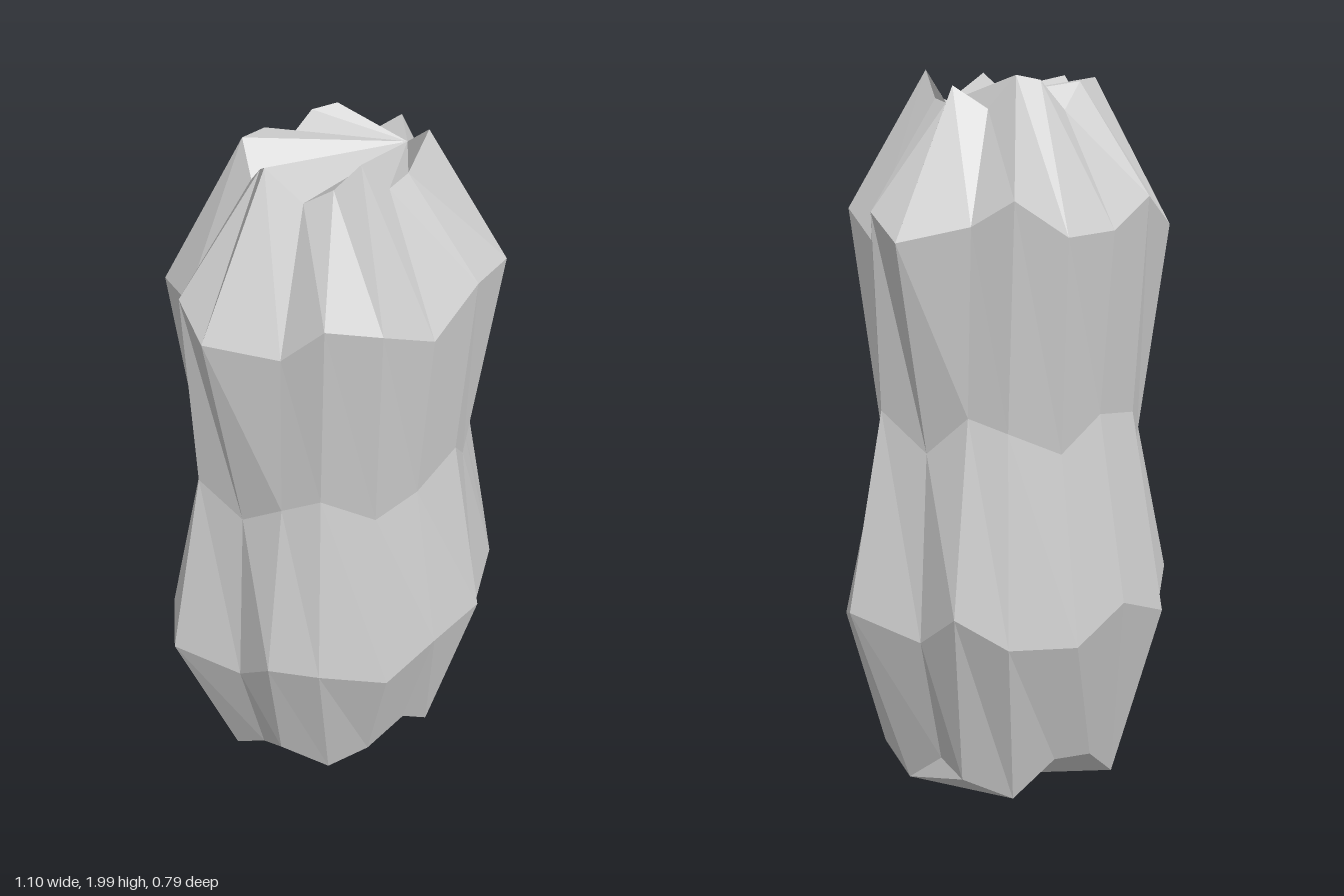
import * as THREE from 'three';

const SIDES = 18;

// Rings of the shell from bottom to top: mean height, ripple height and phase,
// half width (x), half depth (z), and the flute terms that push x in and out.
const RINGS = [
  { y: 0.065, wave: 0.06, phase: 2, rx: 0.36, rz: 0.28, ridge: -0.02, skew: 0.1 },
  { y: 0.5, wave: -0.06, phase: 3.7, rx: 0.55, rz: 0.4, ridge: 0.093, skew: 0.07 },
  { y: 1.035, wave: 0.06, phase: 0, rx: 0.44, rz: 0.315, ridge: 0.073, skew: 0 },
  { y: 1.6, wave: -0.06, phase: 2, rx: 0.465, rz: 0.365, ridge: 0.015, skew: -0.12 },
  { y: 1.945, wave: 0.055, phase: 4, rx: 0.22, rz: 0.19, ridge: -0.067, skew: -0.1 },
];

function ringPoint(r, i) {
  const t = (i / SIDES) * Math.PI * 2;
  const flute = 1 - r.ridge + r.ridge * Math.cos(6 * t) + r.skew * Math.sin(6 * t);
  return [
    r.rx * Math.cos(t) * flute,
    r.y + r.wave * Math.cos(2 * i - r.phase),
    r.rz * Math.sin(t),
  ];
}

function shellGeometry() {
  const positions = [];
  const index = [];
  for (const r of RINGS) {
    for (let i = 0; i < SIDES; i++) positions.push(...ringPoint(r, i));
  }
  // Side walls between neighbouring rings
  for (let k = 0; k < RINGS.length - 1; k++) {
    for (let i = 0; i < SIDES; i++) {
      const j = (i + 1) % SIDES;
      const a = k * SIDES + i, b = k * SIDES + j;
      const c = b + SIDES, d = a + SIDES;
      index.push(a, d, c, a, c, b);
    }
  }
  // Crumpled end caps, each a fan from the first corner of its ring
  const top = (RINGS.length - 1) * SIDES;
  for (let i = 1; i < SIDES - 1; i++) {
    index.push(0, i, i + 1);
    index.push(top, top + i + 1, top + i);
  }
  const geometry = new THREE.BufferGeometry();
  geometry.setAttribute('position', new THREE.Float32BufferAttribute(positions, 3));
  geometry.setIndex(index);
  geometry.computeVertexNormals();
  return geometry;
}

export function createModel() {
  const group = new THREE.Group();
  group.name = 'peanut';
  const material = new THREE.MeshStandardMaterial({
    color: 0xcccccc, flatShading: true, side: THREE.DoubleSide,
  });
  const shell = new THREE.Mesh(shellGeometry(), material);
  shell.name = 'shell';
  group.add(shell);
  return group;
}
